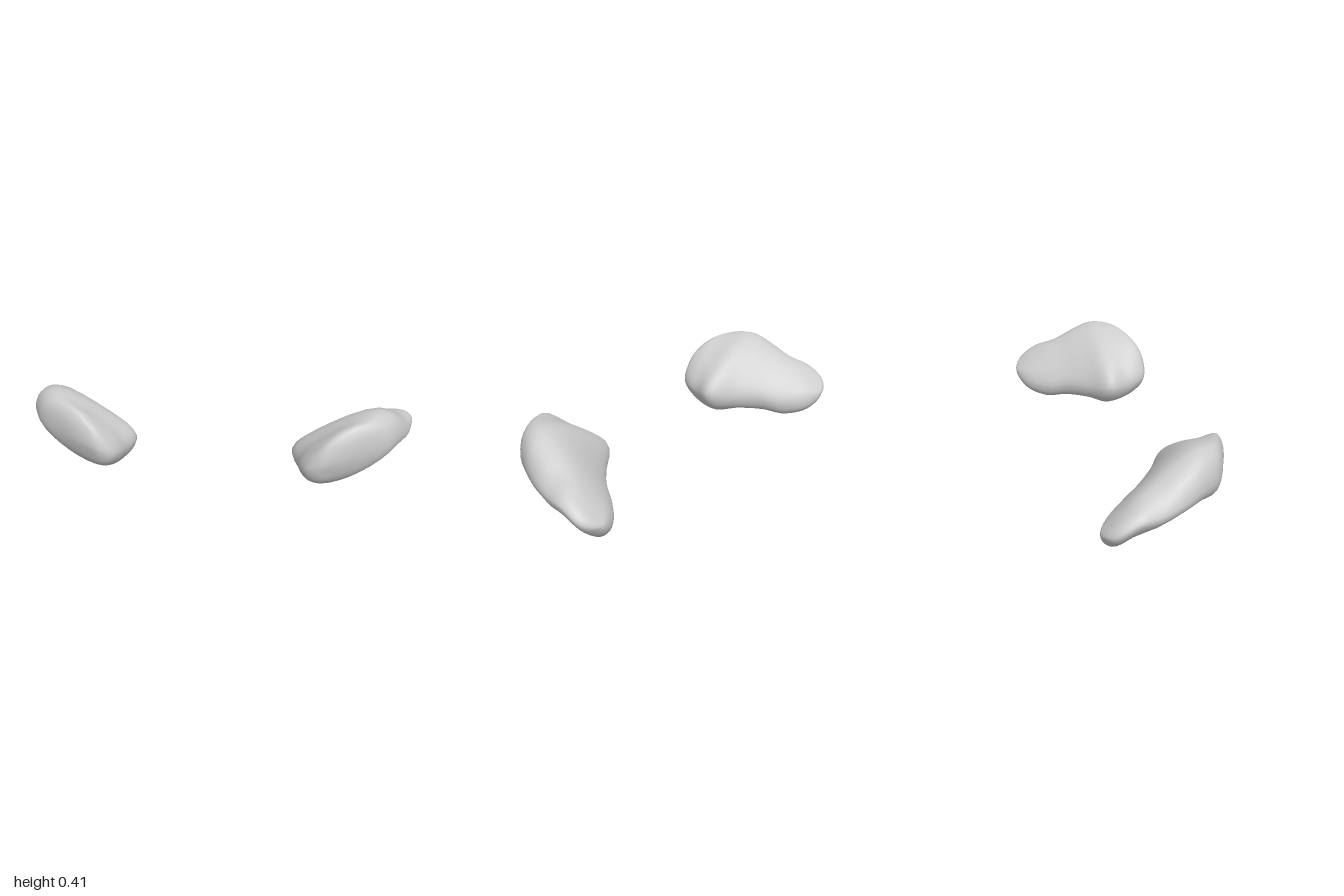
import * as THREE from 'three';
import { mergeVertices } from 'three/addons/utils/BufferGeometryUtils.js';

// Cross-sections of the +x lobe from back to front: z, then eight x,y pairs
// (inner, upper inner, top, upper outer, outer, lower outer, bottom, lower inner).
const SECTIONS = [
  [-0.30, 0.79, 0.09, 0.82, 0.14, 0.90, 0.175, 0.96, 0.18, 0.985, 0.15, 0.93, 0.08, 0.85, 0.035, 0.80, 0.05],
  [-0.20, 0.69, 0.09, 0.74, 0.17, 0.87, 0.25, 0.96, 0.245, 1.0, 0.20, 0.90, 0.085, 0.77, 0.0, 0.71, 0.025],
  [-0.10, 0.62, 0.12, 0.69, 0.215, 0.84, 0.305, 0.94, 0.27, 0.985, 0.20, 0.88, 0.10, 0.73, 0.015, 0.645, 0.045],
  [0.00, 0.515, 0.13, 0.61, 0.25, 0.81, 0.365, 0.92, 0.32, 0.96, 0.215, 0.82, 0.13, 0.66, 0.035, 0.55, 0.055],
  [0.10, 0.40, 0.16, 0.53, 0.285, 0.79, 0.41, 0.89, 0.365, 0.92, 0.24, 0.80, 0.14, 0.55, 0.02, 0.44, 0.065],
  [0.20, 0.43, 0.15, 0.52, 0.28, 0.75, 0.405, 0.835, 0.36, 0.855, 0.24, 0.75, 0.12, 0.57, 0.035, 0.47, 0.06],
  [0.27, 0.445, 0.16, 0.51, 0.27, 0.65, 0.375, 0.72, 0.34, 0.735, 0.24, 0.67, 0.13, 0.55, 0.07, 0.48, 0.09],
  [0.32, 0.475, 0.17, 0.505, 0.24, 0.57, 0.305, 0.615, 0.29, 0.63, 0.23, 0.59, 0.165, 0.54, 0.12, 0.495, 0.13],
];
const BACK_TIP = new THREE.Vector3(0.9, 0.12, -0.343);
const FRONT_TIP = new THREE.Vector3(0.54, 0.21, 0.343);
const AROUND = 32;
const STEPS = 5;

// Smooth closed ring through the eight points of one section
function ring([z, ...xy]) {
  const points = [];
  for (let i = 0; i < xy.length; i += 2) points.push(new THREE.Vector3(xy[i], xy[i + 1], z));
  const curve = new THREE.CatmullRomCurve3(points, true);
  return Array.from({ length: AROUND }, (_, j) => curve.getPoint(j / AROUND));
}

// Loft along z; each rail runs over both tips to the far side, so the ends are round
function lobeGeometry(side) {
  const rings = SECTIONS.map(ring);
  const last = rings.length - 1;
  const positions = [];
  const index = [];
  const spans = rings.length + 1;
  const rows = spans * STEPS;
  for (let j = 0; j < AROUND; j++) {
    const far = (j + AROUND / 2) % AROUND;
    const rail = new THREE.CatmullRomCurve3([
      rings[0][far], BACK_TIP, ...rings.map((r) => r[j]), FRONT_TIP, rings[last][far],
    ]);
    for (let i = 0; i <= rows; i++) {
      const p = i === 0 ? BACK_TIP : i === rows ? FRONT_TIP
        : rail.getPoint((1 + i / STEPS) / (spans + 2));
      positions.push(side * p.x, p.y, p.z);
    }
  }
  const at = (i, j) => (j % AROUND) * (rows + 1) + i;
  const face = (a, b, c) => index.push(...(side > 0 ? [a, b, c] : [a, c, b]));
  for (let j = 0; j < AROUND; j++) {
    for (let i = 0; i < rows; i++) {
      const a = at(i, j), b = at(i, j + 1), c = at(i + 1, j), d = at(i + 1, j + 1);
      if (i < rows - 1) face(a, c, d);
      else face(a, c, b);
      if (i > 0 && i < rows - 1) face(a, d, b);
    }
  }
  let geometry = new THREE.BufferGeometry();
  geometry.setAttribute('position', new THREE.Float32BufferAttribute(positions, 3));
  geometry.setIndex(index);
  geometry = mergeVertices(geometry, 1e-5);
  geometry.computeVertexNormals();
  return geometry;
}

export function createModel() {
  const model = new THREE.Group();
  model.name = 'pairedLobes';
  const grey = new THREE.MeshStandardMaterial({ color: 0xcccccc });
  grey.name = 'light grey';
  for (const [name, side] of [['leftLobe', 1], ['rightLobe', -1]]) {
    const lobe = new THREE.Mesh(lobeGeometry(side), grey);
    lobe.name = name;
    model.add(lobe);
  }
  return model;
}
